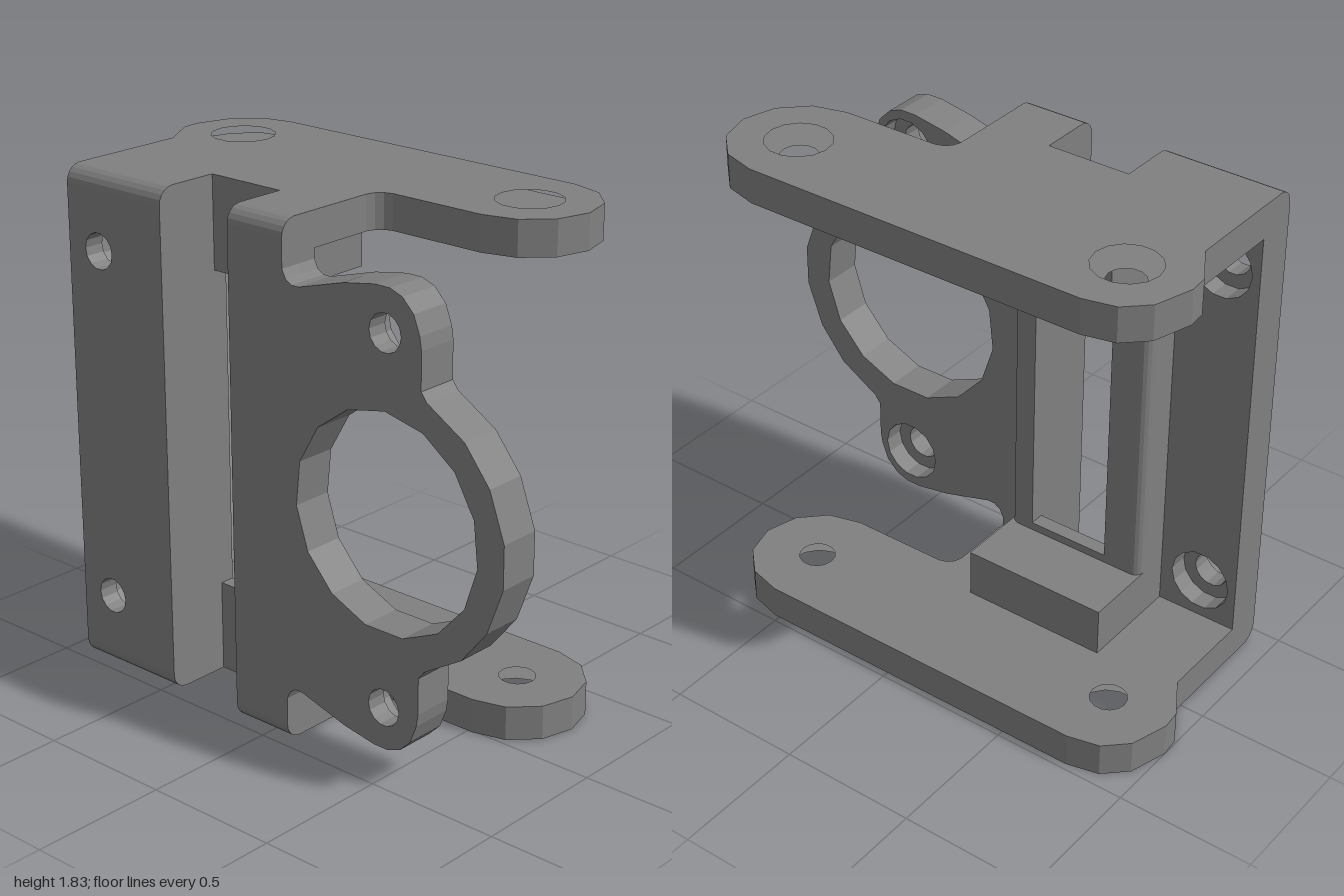
import * as THREE from 'three';

const H = 1.83;        // overall height
const T = 0.125;       // arm thickness
const FRONT = 0.47, BACK = 0.32, GROOVE = 0.225;   // z of the plate faces and groove floor
const GL = -0.46, GR = -0.15;                      // groove sides
const HOLE_X = [-0.765, 0.52];

const flipY = (pts) => pts.map(([x, y]) => [x, H - y]);

function circle(x, y, r, n, start = 0) {
  return Array.from({ length: n }, (_, i) => {
    const a = start + (i / n) * Math.PI * 2;
    return [x + r * Math.cos(a), y + r * Math.sin(a)];
  });
}

function extrude(outline, holes, depth) {
  const toVectors = (pts) => pts.map(([x, y]) => new THREE.Vector2(x, y));
  const shape = new THREE.Shape(toVectors(outline));
  holes.forEach((h) => shape.holes.push(new THREE.Path(toVectors(h))));
  return new THREE.ExtrudeGeometry(shape, { depth, bevelEnabled: false });
}

// Outline in x, y extruded towards +z
const upright = (outline, holes, z0, z1) =>
  extrude(outline, holes, z1 - z0).translate(0, 0, z0);

// Outline in x, z extruded upwards
const flat = (outline, holes, y0, y1) => {
  const neg = (pts) => pts.map(([x, z]) => [x, -z]);
  return extrude(neg(outline), holes.map(neg), y1 - y0).rotateX(-Math.PI / 2).translate(0, y0, 0);
};

// Outline in z, y extruded along x
const across = (outline, x0, x1) =>
  extrude(outline.map(([z, y]) => [-z, y]), [], x1 - x0).rotateY(Math.PI / 2).translate(x0, 0, 0);

export function createModel() {
  const model = new THREE.Group();
  model.name = 'mountingBracket';
  const grey = new THREE.MeshStandardMaterial({ color: 0x808080 });
  grey.name = 'grey';
  const add = (name, geometry) => {
    const mesh = new THREE.Mesh(geometry, grey);
    mesh.name = name;
    model.add(mesh);
  };

  // Front plates: small screw holes in front, wider counterbores behind
  const holeYs = [0.275, H - 0.275];
  const leftPlate = [[-0.91, T], [GL, T], [GL, H - T], [-0.91, H - T]];
  const earHalf = [
    [0.09, T], [0.09, 0.16], [0.105, 0.19], [0.13, 0.205], [0.16, 0.205], [0.35, 0.15],
    [0.48, 0.127], [0.54, 0.127], [0.59, 0.145], [0.635, 0.19], [0.66, 0.255], [0.667, 0.3],
    [0.667, 0.43], [0.69, 0.46], [0.84, 0.55], [0.94, 0.675], [1, 0.84],
  ];
  const ringPlate = [[GR, T], ...earHalf, ...flipY(earHalf).reverse(), [GR, H - T]];
  const ringHole = circle(0.52, 0.92, 0.38, 15, Math.PI / 2);
  const step = 0.395;
  [[step, FRONT, 0.065, 'Front'], [BACK, step, 0.115, 'Counterbore']].forEach(([z0, z1, r, tag]) => {
    const holes = (x) => holeYs.map((y) => circle(x, y, r, 14));
    add('screwPlate' + tag, upright(leftPlate, holes(HOLE_X[0]), z0, z1));
    add('ringPlate' + tag, upright(ringPlate, [...holes(HOLE_X[1]), ringHole], z0, z1));
  });

  // Rounded front corners joining plates and arms
  const r = 0.06;
  const corner = [[BACK, 0], [FRONT - r, 0]];
  for (let i = 1; i <= 5; i++) {
    const a = (i / 5) * Math.PI / 2;
    corner.push([FRONT - r + r * Math.sin(a), r - r * Math.cos(a)]);
  }
  corner.push([FRONT, T], [BACK, T]);
  [['bottom', corner], ['top', flipY(corner)]].forEach(([tag, profile]) => {
    add(tag + 'CornerScrewSide', across(profile, -0.91, GL));
    add(tag + 'CornerRingSide', across(profile, GR, 0.09));
  });

  // Arms reaching back, with a notch for the groove
  const arm = [
    [-0.91, BACK], [-0.91, -0.03], [-0.993, -0.165], [-1, -0.235], [-0.958, -0.375],
    [-0.88, -0.45], [-0.765, -0.477],
  ];
  for (let i = 0; i <= 6; i++) {
    const a = -Math.PI / 2 + (i / 6) * Math.PI;
    arm.push([0.517 + 0.243 * Math.cos(a), -0.234 + 0.243 * Math.sin(a)]);
  }
  arm.push([0.15, 0.01], [0.12, 0.02], [0.1, 0.04], [0.09, 0.07], [0.09, BACK],
    [GR, BACK], [GR, GROOVE], [GL, GROOVE], [GL, BACK]);
  const armHoles = (radius) => HOLE_X.map((x) => circle(x, -0.234, radius, 14));
  const sink = 0.055;
  add('bottomArmCounterbore', flat(arm, armHoles(0.115), 0, sink));
  add('bottomArm', flat(arm, armHoles(0.065), sink, T));
  add('topArm', flat(arm, armHoles(0.065), H - T, H - sink));
  add('topArmCounterbore', flat(arm, armHoles(0.115), H - sink, H));

  // Blocks on the arms behind the groove
  const L = -0.605, R = -0.055, blockH = 0.305;
  const block = [[L, -0.07], [R, -0.07], [R, BACK], [GR, BACK], [GR, GROOVE], [GL, GROOVE], [GL, BACK], [L, BACK]];
  add('bottomBlock', flat(block, [], T, blockH));
  add('topBlock', flat(block, [], H - blockH, H - T));

  // Walls beside the slot with rounded rear outer edges
  const zb = 0.17, f = 0.035;
  [['slotWallScrewSide', L, GL, 1], ['slotWallRingSide', R, GR, -1]].forEach(([name, outer, inner, s]) => {
    const wall = [[inner, BACK], [inner, zb]];
    for (let i = 0; i <= 4; i++) {
      const a = (i / 4) * Math.PI / 2;
      wall.push([outer + s * f * (1 - Math.sin(a)), zb + f * (1 - Math.cos(a))]);
    }
    wall.push([outer, BACK]);
    add(name, flat(wall, [], blockH, H - blockH));
  });

  // Lips closing the ends of the slot
  const lip = [[GL, zb], [GR, zb], [GR, GROOVE], [GL, GROOVE]];
  add('bottomLip', flat(lip, [], blockH, 0.335));
  add('topLip', flat(lip, [], H - 0.335, H - blockH));

  return model;
}
